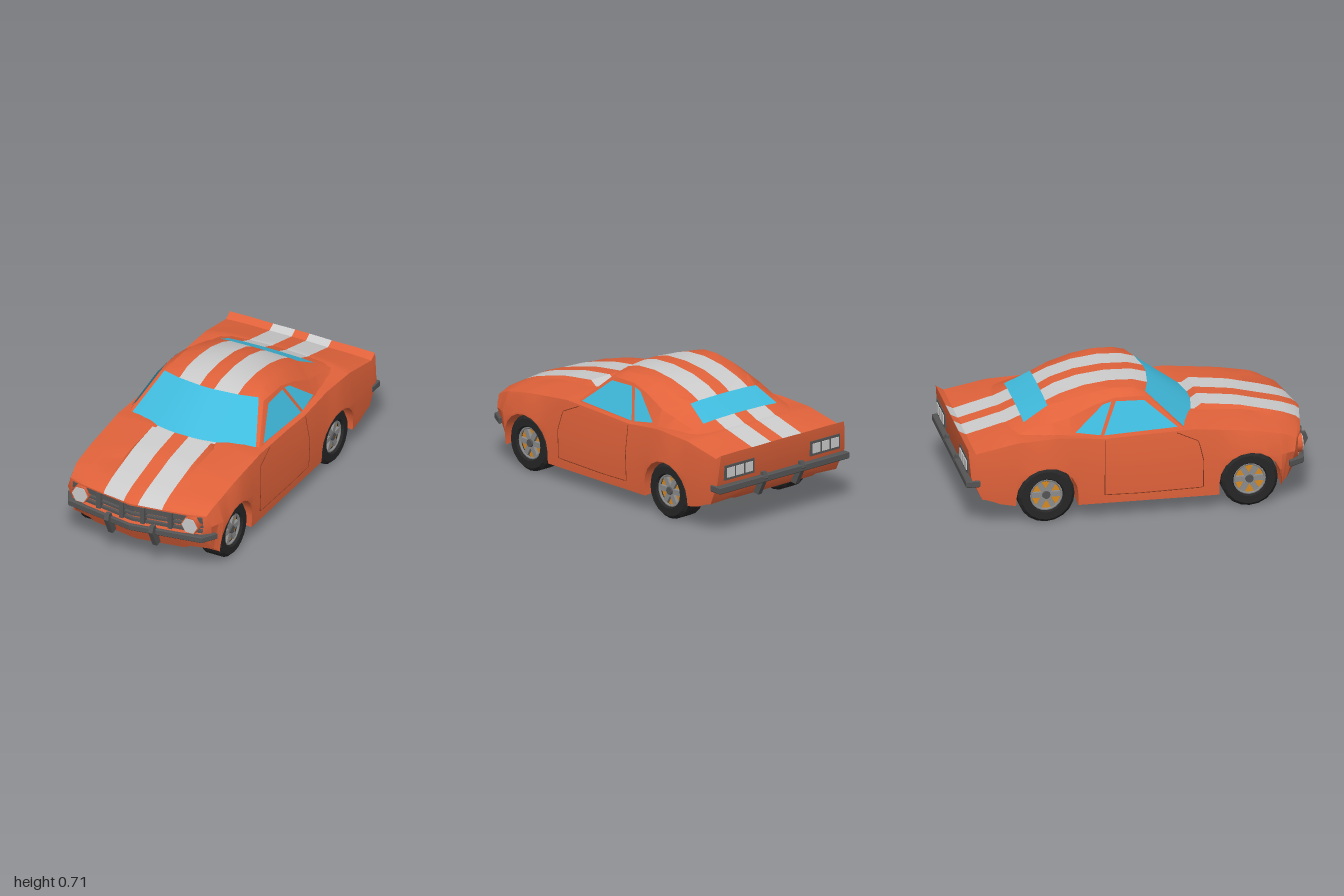
import * as THREE from 'three';
import { toCreasedNormals } from 'three/addons/utils/BufferGeometryUtils.js';

const paint = (color, extra = {}) => new THREE.MeshStandardMaterial({ color, ...extra });
const ORANGE = paint(0xe0623a), WHITE = paint(0xcccccc), DARK = paint(0x555555);
const GLASS = paint(0x40bbdd, { side: THREE.DoubleSide });
const RUBBER = paint(0x262626, { flatShading: true }), AMBER = paint(0xd98a20), STEEL = paint(0x8c8c8c);

const clamp = (v) => Math.min(1, Math.max(0, v));
// Piecewise linear value at z, keys running from front to rear
function at(keys, z) {
  if (z >= keys[0][0]) return keys[0][1];
  for (let i = 1; i < keys.length; i++) {
    const [z0, v0] = keys[i - 1], [z1, v1] = keys[i];
    if (z >= z1) return v0 + (v1 - v0) * (z0 - z) / (z0 - z1);
  }
  return keys[keys.length - 1][1];
}

const deckY = [[.975, .385], [.95, .405], [.87, .43], [.6, .483], [.3, .502], [.22, .485], [-.5, .49], [-.72, .51], [-.93, .452], [-.965, .475]];
const scoopH = [[.95, 0], [.7, .012], [.39, .03], [.35, 0]];
const shoulderX = [[.975, .43], [.75, .447], [.3, .45], [0, .447], [-.5, .455], [-.965, .46]];
const shoulderY = [[.975, .378], [.9, .4], [.6, .455], [.3, .488], [-.2, .472], [-.45, .5], [-.7, .49], [-.93, .445], [-.965, .472]];
const waistX = [[.975, .455], [.78, .485], [.6, .49], [.4, .476], [0, .473], [-.33, .477], [-.53, .49], [-.965, .476]];
const lowerX = [[.975, .42], [.8, .46], [.4, .468], [-.965, .465]];
const sillY = [[.975, .14], [.79, .115], [.43, .09], [-.36, .095], [-.72, .12], [-.965, .175]];
const floorY = [[.975, .13], [.85, .13], [.78, .19], [.44, .19], [.36, .1], [-.28, .1], [-.4, .19], [-.68, .19], [-.74, .13], [-.965, .175]];
const AXLES = [.61, -.535], ARCH_R = .175, AXLE_Y = .16;

// Pointed nose, undercut front and rear, tail lip leaning back
function bend([x, y, z]) {
  const w = clamp((z - .79) / .18), r = clamp((-.8 - z) / .15);
  const nose = .17 * x + .4 * Math.max(0, x - .37) + .5 * Math.max(0, .26 - y);
  return [x, y, z - w * nose + r * (.6 * Math.max(0, .28 - y) - .25 * Math.max(0, y - .42))];
}

// Half section from the top centre, down the side, to the floor centre
function section(z, arch = 0) {
  const top = at(deckY, z), sy = at(shoulderY, z), wx = at(waistX, z), lx = at(lowerX, z);
  const low = Math.max(arch, at(sillY, z)), fy = at(floorY, z), up = top + at(scoopH, z);
  return [[0, up], [.045, up], [.185, up - .002], [.205, top - .002], [.33, top - .25 * (top - sy)],
    [at(shoulderX, z), sy], [wx, Math.max(.31, low + .012)], [lx + (wx - lx) * clamp((low - .1) / .2), low],
    [.31, arch ? low : low + .01], [.29, fy], [0, fy]].map(([x, y]) => bend([x, y, z]));
}

// Mirrored skin over the row/column ranges, plus optional end caps fanned from a centre
function skin(name, rows, ranges, material, caps = []) {
  const pos = [], A = new THREE.Vector3(), B = new THREE.Vector3(), C = new THREE.Vector3();
  const tri = (a, b, c) => {
    A.set(...a); B.set(...b).sub(A); C.set(...c).sub(A);
    if (B.cross(C).length() < 1e-7) return;
    pos.push(...a, ...b, ...c);
    for (const p of [a, c, b]) pos.push(-p[0], p[1], p[2]);
  };
  for (const [r0, r1, c0, c1] of ranges)
    for (let r = r0; r < r1; r++)
      for (let c = c0; c < c1; c++) {
        const a = rows[r][c], b = rows[r][c + 1], d = rows[r + 1][c], e = rows[r + 1][c + 1];
        tri(a, b, d);
        tri(b, e, d);
      }
  for (const { row, centre, front } of caps)
    for (let i = 0; i < row.length - 1; i++)
      front ? tri(centre, row[i + 1], row[i]) : tri(centre, row[i], row[i + 1]);
  const g = new THREE.BufferGeometry();
  g.setAttribute('position', new THREE.Float32BufferAttribute(pos, 3));
  return part(name, toCreasedNormals(g, .5), material);
}

function part(name, geometry, material, x = 0, y = 0, z = 0) {
  const m = new THREE.Mesh(geometry, material);
  m.name = name;
  m.position.set(x, y, z);
  return m;
}

function archRows(c) {
  const rows = [section(c + ARCH_R)];
  for (let i = 0; i <= 10; i++) {
    const a = Math.PI * i / 10;
    rows.push(section(c + ARCH_R * Math.cos(a), AXLE_Y + ARCH_R * Math.sin(a)));
  }
  return [...rows, section(c - ARCH_R)];
}

function addBody(car) {
  const mouth = (z) => [[0, .375], [.045, .375], [.185, .375], [.205, .375], [.33, .375], [.41, .37],
    [.415, .31], [.41, .262], [.31, .262], [.29, .262], [0, .262]].map(([x, y]) => bend([x, y, z]));
  const rows = [mouth(.93), mouth(.975), ...[.975, .95, .87].map((z) => section(z)), ...archRows(AXLES[0]),
    ...[.39, .35, .3, .22, 0, -.2, -.28, -.32].map((z) => section(z)), ...archRows(AXLES[1]),
    ...[-.74, -.8, -.87, -.93, -.965].map((z) => section(z))];
  const n = rows.length - 1;
  car.add(skin('body', rows, [[0, n, 0, 1], [0, 2, 1, 2], [0, n, 2, 10]], ORANGE, [
    { row: rows[0], centre: bend([0, .32, .93]), front: true },
    { row: rows[n], centre: bend([0, .285, -.965]) }]));
  car.add(skin('bodyStripes', rows, [[2, n, 1, 2]], WHITE));
}

function addCabin(car) {
  // centre z, edge z, top y, roof corner x y, drip edge x y, belt x y z
  const bows = [
    [.355, .25, .5, .392, .484, .412, .48, .425, .465, .24],
    [.105, .05, .682, .298, .675, .328, .66, .42, .465, .05],
    [.02, -.02, .706, .285, .698, .335, .665, .42, .465, -.02],
    [-.13, -.13, .712, .28, .703, .335, .665, .42, .465, -.13],
    [-.29, -.25, .695, .28, .685, .347, .635, .42, .465, -.25],
    [-.42, -.39, .657, .27, .647, .365, .58, .42, .47, -.4],
    [-.49, -.49, .62, .245, .612, .355, .55, .415, .47, -.49],
    [-.63, -.63, .545, .275, .535, .35, .515, .41, .47, -.6],
    [-.75, -.75, .495, .3, .485, .35, .48, .4, .465, -.7]];
  const rows = bows.map(([zc, ze, yt, xr, yr, xd, yd, xb, yb, zb]) => [
    ...[0, .045, .185].map((x) => [x, yt - .1 * x * x, zc + (ze - zc) * (x / xr) ** 2]),
    [xr, yr, ze], [xd, yd, ze], [xb, yb, zb]]);
  car.add(skin('cabin', rows, [[0, 8, 3, 5], [1, 6, 0, 1], [1, 6, 2, 3], [7, 8, 0, 1], [7, 8, 2, 3]], ORANGE));
  car.add(skin('cabinStripes', rows, [[1, 6, 1, 2], [7, 8, 1, 2]], WHITE));
  car.add(skin('windscreen', rows, [[0, 1, 0, 3]], GLASS));
  car.add(skin('rearWindow', rows, [[6, 7, 0, 3]], GLASS));

  // Side glass lies just proud of the cabin flank
  const panes = { frontSideWindow: [[.21, .497], [.035, .645], [-.125, .65], [-.205, .483]],
    rearSideWindow: [[-.15, .65], [-.2, .638], [-.365, .508], [-.225, .485]] };
  for (const [name, outline] of Object.entries(panes)) {
    const [a, b, c, d] = outline.map(([z, y]) => [.342 + (.665 - y) * .45, y, z]);
    car.add(skin(name, [[b, a], [c, d]], [[0, 1, 0, 1]], GLASS));
  }
}

function addDoorSeams(car) {
  const onSide = ([z, y]) => {
    const s = section(z);
    const [p, q] = y > s[6][1] ? [s[5], s[6]] : [s[6], s[7]];
    return new THREE.Vector3(q[0] + (p[0] - q[0]) * (y - q[1]) / (p[1] - q[1]), y, z);
  };
  const path = new THREE.CurvePath();
  const pts = [[.2, .475], [.32, .42], [.345, .31], [.345, .145], [0, .14], [-.21, .145], [-.21, .31], [-.205, .465]].map(onSide);
  for (let i = 1; i < pts.length; i++) path.add(new THREE.LineCurve3(pts[i - 1], pts[i]));
  const seam = new THREE.TubeGeometry(path, 60, .0025, 4);
  const material = paint(0x8f3d22);
  car.add(part('doorSeam', seam, material));
  const mirrored = part('doorSeam', seam, material);
  mirrored.scale.x = -1;
  car.add(mirrored);
}

// Bumper outlined from above as [x, z] on one side, then mirrored
function bumper(name, half, y, height) {
  const outline = [...half, ...half.slice().reverse().map(([x, z]) => [-x, z])];
  const g = new THREE.ExtrudeGeometry(new THREE.Shape(outline.map(([x, z]) => new THREE.Vector2(x, -z))),
    { depth: height, bevelSize: .005, bevelThickness: .005, bevelSegments: 1 });
  return part(name, g.rotateX(-Math.PI / 2), DARK, 0, y, 0);
}

function addTrim(car) {
  car.add(bumper('frontBumper', [[.001, .985], [.42, .915], [.468, .835], [.452, .835], [.41, .88], [.001, .95]], .228, .028));
  car.add(bumper('rearBumper', [[.478, -.92], [.478, -.99], [.001, -.99], [.001, -.96], [.465, -.96], [.465, -.92]], .26, .03));

  // Upright guards, extruded from their side profile
  const profile = [[.96, .285], [.985, .285], [.998, .25], [.945, .145], [.905, .15], [.935, .23]];
  const guard = new THREE.ExtrudeGeometry(new THREE.Shape(profile.map(([z, y]) => new THREE.Vector2(-z, y))),
    { depth: .028, bevelEnabled: false }).translate(0, 0, -.014).rotateY(Math.PI / 2);
  for (const x of [-.14, .14]) {
    car.add(part('frontGuard', guard, DARK, x));
    const rear = part('rearGuard', guard, DARK, x, .028, 0);
    rear.rotation.y = Math.PI;
    car.add(rear);
  }

  for (const s of [-1, 1]) {
    // Grille bars follow the pointed nose
    for (const [y, h] of [[.345, .032], [.308, .014], [.275, .016]]) {
      const bar = part('grilleBar', new THREE.BoxGeometry(.425, h, .02), DARK, s * .205, y, .945 - .17 * .205);
      bar.rotation.y = s * .168;
      car.add(bar);
    }
    for (const x of [.066, .225])
      car.add(part('grilleUpright', new THREE.BoxGeometry(.026, .1, .035), DARK, s * x, .318, .953 - .17 * x));

    const hex = (r, d) => new THREE.CylinderGeometry(r, r, d, 6).rotateY(Math.PI / 6).rotateX(Math.PI / 2);
    car.add(part('headlightHousing', hex(.055, .05), ORANGE, s * .347, .316, .895));
    car.add(part('headlight', hex(.049, .056), WHITE, s * .347, .316, .897));

    car.add(part('tailLightFrame', new THREE.BoxGeometry(.22, .085, .02), DARK, s * .32, .365, -.968));
    for (const x of [.252, .32, .388])
      car.add(part('tailLight', new THREE.BoxGeometry(.055, .055, .02), WHITE, s * x, .365, -.973));
  }
}

function wheel(side) {
  const g = new THREE.Group();
  g.name = 'wheel';
  const ring = [[.001, -.045], [.088, -.045], [.1, -.07], [.142, -.07], [.16, -.052], [.16, .052], [.142, .07], [.1, .07], [.088, .05], [.088, 0]];
  g.add(part('tyre', new THREE.LatheGeometry(ring.map((p) => new THREE.Vector2(...p)), 20), RUBBER));
  g.add(part('rimBack', new THREE.CylinderGeometry(.09, .09, .04, 20), AMBER, 0, .015, 0));
  g.add(part('rimEdge', new THREE.TorusGeometry(.088, .008, 6, 20).rotateX(Math.PI / 2), STEEL, 0, .05, 0));
  g.add(part('hub', new THREE.CylinderGeometry(.022, .028, .035, 10), DARK, 0, .045, 0));
  for (let i = 0; i < 6; i++) {
    const spoke = part('spoke', new THREE.BoxGeometry(.075, .02, .03).translate(.05, 0, 0), STEEL, 0, .043, 0);
    spoke.rotation.y = i * Math.PI / 3 + Math.PI / 6;
    g.add(spoke);
  }
  g.rotation.z = -side * Math.PI / 2;
  return g;
}

export function createModel() {
  const car = new THREE.Group();
  car.name = 'car';
  addBody(car);
  addCabin(car);
  addDoorSeams(car);
  addTrim(car);
  for (const z of AXLES) {
    for (const s of [-1, 1]) {
      const w = wheel(s);
      w.position.set(s * .385, AXLE_Y, z);
      car.add(w);
    }
    car.add(part('axle', new THREE.CylinderGeometry(.022, .022, .66, 10).rotateZ(Math.PI / 2), RUBBER, 0, AXLE_Y, z));
  }
  return car;
}
